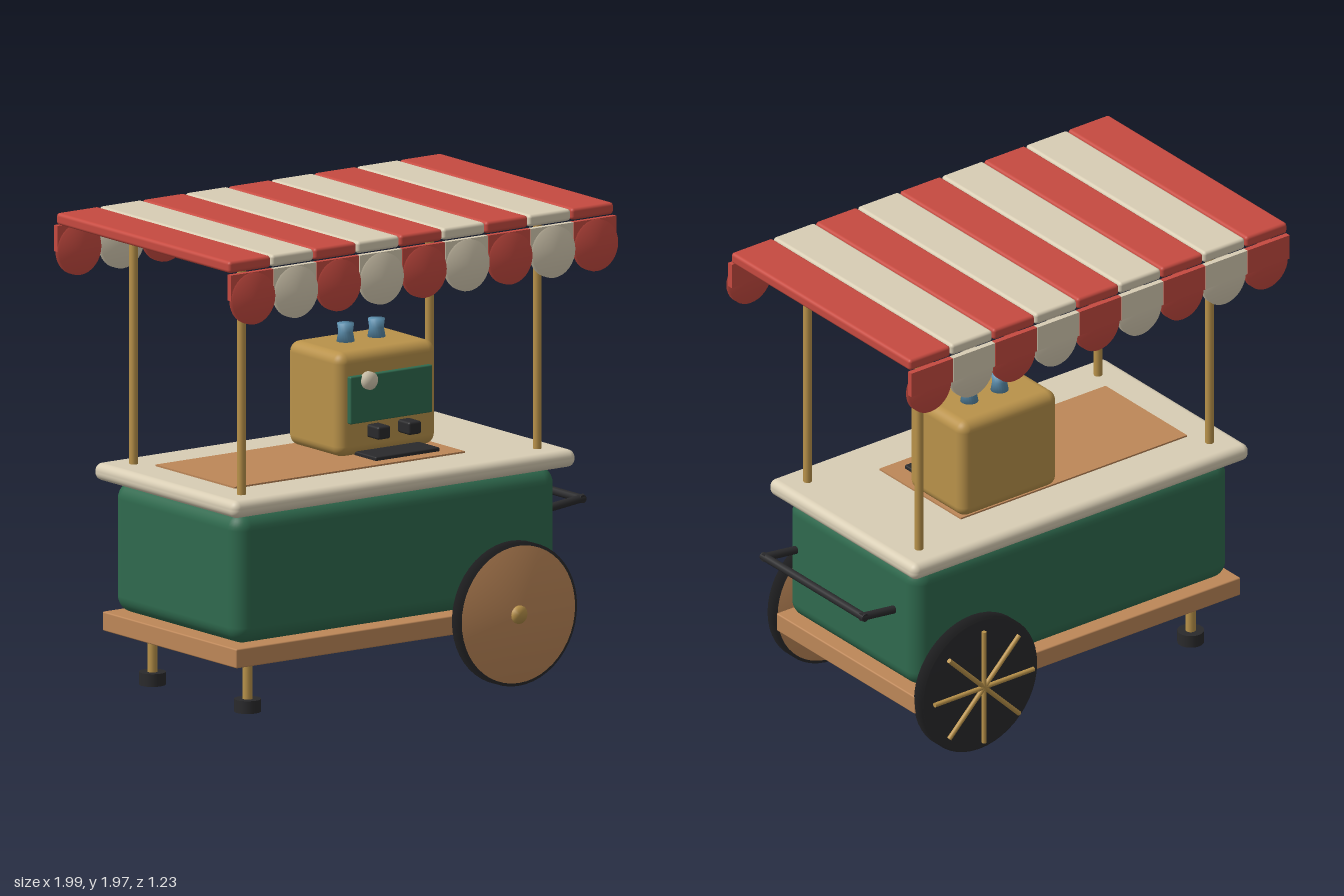
import * as THREE from 'three';
import { mergeVertices } from 'three/addons/utils/BufferGeometryUtils.js';
import { RoundedBoxGeometry } from 'three/addons/geometries/RoundedBoxGeometry.js';

const mat = (name, color) => {
  const m = new THREE.MeshStandardMaterial({ color });
  m.name = name;
  return m;
};

export function createModel() {
  const red = mat('awning red', 0xc64a40);
  const cream = mat('cream', 0xd8cdb4);
  const green = mat('body green', 0x2f6a4e);
  const wood = mat('wood', 0xbd8758);
  const brass = mat('brass', 0xb9924a);
  const dark = mat('dark rubber', 0x2a2a2c);
  const blue = mat('cup blue', 0x5c8fae);

  const model = new THREE.Group();
  model.name = 'streetCart';

  const add = (name, geo, material, x = 0, y = 0, z = 0) => {
    const mesh = new THREE.Mesh(geo, material);
    mesh.name = name;
    mesh.position.set(x, y, z);
    model.add(mesh);
    return mesh;
  };

  // Box given by its limits on each axis; r > 0 rounds the edges
  const block = (name, material, [x0, x1], [y0, y1], [z0, z1], r = 0) => {
    const size = [x1 - x0, y1 - y0, z1 - z0];
    const geo = r ? new RoundedBoxGeometry(...size, 4, r) : new THREE.BoxGeometry(...size);
    return add(name, geo, material, (x0 + x1) / 2, (y0 + y1) / 2, (z0 + z1) / 2);
  };

  // Disc facing z, with normals blended softly over the rim
  const softDisc = (r, depth, sides = 32) => {
    const geo = new THREE.CylinderGeometry(r, r, depth, sides).rotateX(Math.PI / 2);
    geo.deleteAttribute('normal');
    geo.deleteAttribute('uv');
    const soft = mergeVertices(geo, 1e-4);
    soft.computeVertexNormals();
    return soft;
  };

  // Round bar between two points
  const bar = (name, material, a, b, r) => {
    const path = new THREE.LineCurve3(new THREE.Vector3(...a), new THREE.Vector3(...b));
    const dir = path.v2.clone().sub(path.v1);
    const mesh = add(name, new THREE.CylinderGeometry(r, r, dir.length(), 16), material);
    mesh.position.copy(path.getPoint(0.5));
    mesh.quaternion.setFromUnitVectors(new THREE.Vector3(0, 1, 0), dir.normalize());
    return mesh;
  };

  // Cart body
  block('baseBoard', wood, [-0.861, 0.819], [0.24, 0.32], [-0.461, 0.456], 0.006);
  block('body', green, [-0.834, 0.792], [0.322, 0.866], [-0.438, 0.43], 0.07);
  block('counter', cream, [-0.888, 0.845], [0.866, 0.938], [-0.493, 0.482], 0.032);
  block('counterInlay', wood, [-0.725, 0.44], [0.936, 0.945], [-0.28, 0.26]);

  // Awning posts
  for (const x of [-0.768, 0.728])
    for (const z of [-0.373, 0.365])
      bar('awningPost', brass, [x, 0.93, z], [x, 1.93, z], 0.018);

  // Striped awning with scalloped valances front and back
  const scallop = softDisc(0.107, 0.025);
  for (let i = 0; i < 9; i++) {
    const x = -0.888 + i * 0.2167;
    const color = i % 2 ? cream : red;
    block('awningStripe', color, [x - 0.106, x + 0.106], [1.922, 1.971], [-0.6, 0.588], 0.014);
    for (const z of [0.59, -0.6]) {
      block('valance', color, [x - 0.107, x + 0.107], [1.81, 1.918], [z - 0.012, z + 0.012]);
      add('scallop', scallop, color, x, 1.81, z + 0.012);
    }
  }

  // Wheels
  for (const [z, discZ] of [[0.49, 0.49], [-0.48, -0.474]]) {
    add('tyre', softDisc(0.298, 0.05, 48), dark, 0.52, 0.3, z);
    add('wheelDisc', softDisc(0.285, 0.058, 48), wood, 0.52, 0.3, discZ);
    add('hub', softDisc(0.038, 0.075, 20), brass, 0.52, 0.3, z > 0 ? z : -0.465);
  }
  // Dark outer face and brass spokes of the rear wheel
  add('rearWheelCover', softDisc(0.29, 0.01, 48), dark, 0.52, 0.3, -0.503);
  for (let i = 0; i < 4; i++) {
    const a = i * Math.PI / 4;
    const c = 0.255 * Math.cos(a), s = 0.255 * Math.sin(a);
    bar('spoke', brass, [0.52 - c, 0.3 - s, -0.537], [0.52 + c, 0.3 + s, -0.537], 0.01);
  }

  // Support legs with rubber feet
  for (const z of [0.323, -0.328]) {
    add('leg', new THREE.CapsuleGeometry(0.021, 0.15, 6, 16), brass, -0.706, 0.145, z);
    add('foot', new THREE.CylinderGeometry(0.055, 0.055, 0.053, 24), dark, -0.706, 0.047, z);
  }

  // Push handle
  bar('handleBar', dark, [0.982, 0.689, -0.345], [0.982, 0.689, 0.335], 0.017);
  for (const z of [-0.33, 0.32])
    bar('handleArm', dark, [0.825, 0.671, z], [0.995, 0.691, z], 0.017);

  // Drinks machine
  block('machineBody', brass, [-0.055, 0.445], [0.941, 1.375], [-0.297, 0.07], 0.045);
  block('machinePanel', green, [-0.013, 0.402], [1.083, 1.28], [0.06, 0.091], 0.006);
  add('gauge', softDisc(0.037, 0.024, 24), cream, 0.076, 1.257, 0.096);
  block('dripTray', dark, [0.034, 0.358], [0.942, 0.961], [0.05, 0.2], 0.006);

  // Spouts and the cups on top
  const cup = new THREE.LatheGeometry(
    [[0, 0], [0.038, 0], [0.03, 0.045], [0.035, 0.08], [0, 0.08]].map(p => new THREE.Vector2(...p)), 20);
  for (const x of [0.118, 0.274]) {
    block('spout', dark, [x - 0.032, x + 0.032], [1.015, 1.069], [0.06, 0.146], 0.01);
    add('cup', cup, blue, x + 0.01, 1.37, -0.135);
  }

  return model;
}
